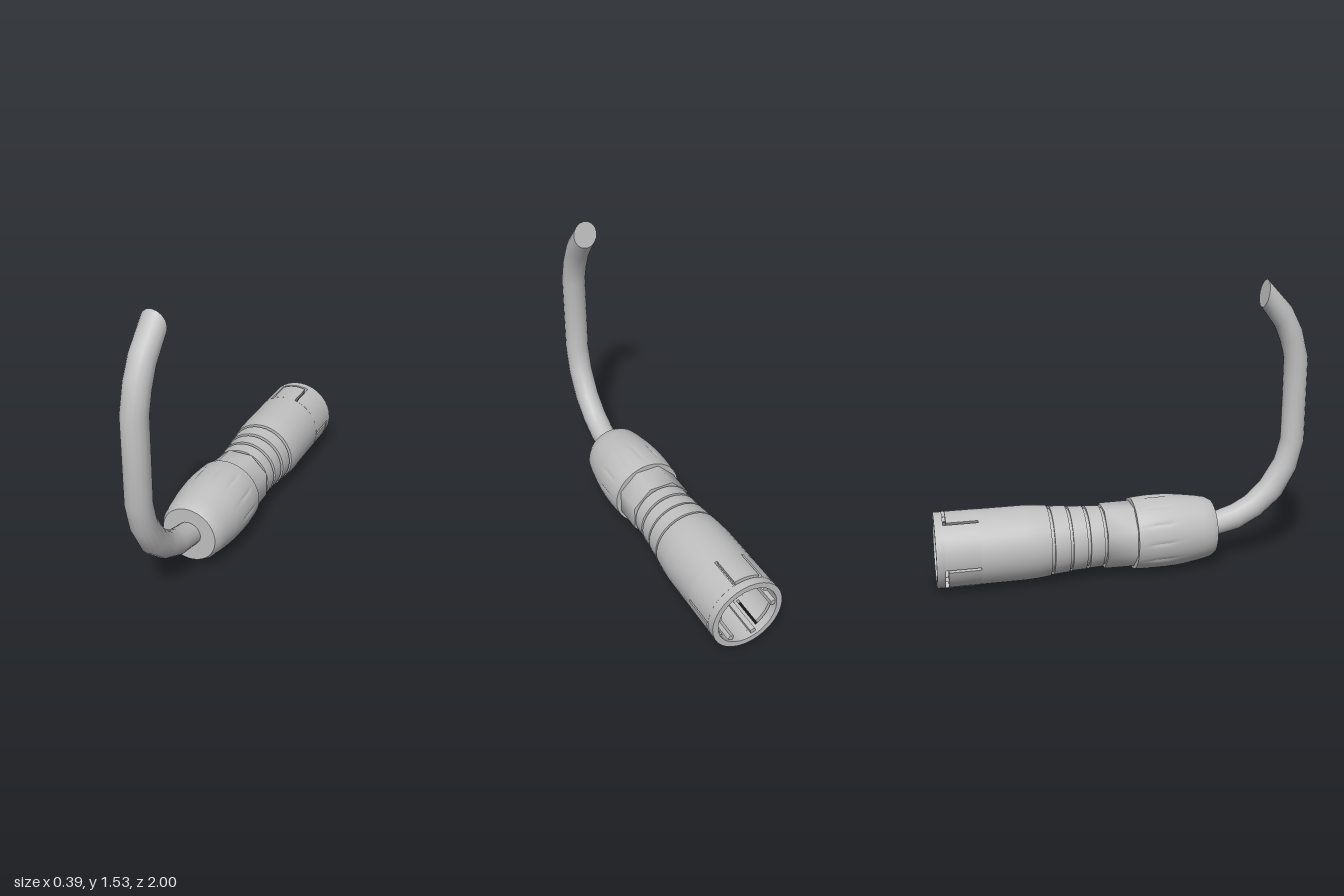
import * as THREE from 'three';
import { toCreasedNormals } from 'three/addons/utils/BufferGeometryUtils.js';

const AXIS_Y = 0.198;   // height of the connector's axis
const OUTER = 0.196, INNER = 0.165;

export function createModel() {
  const model = new THREE.Group();
  model.name = 'cableConnector';
  const grey = new THREE.MeshStandardMaterial({ color: 0xc0c0c0 });
  grey.name = 'lightGrey';

  const connector = new THREE.Group();
  connector.name = 'connector';
  connector.position.y = AXIS_Y;
  model.add(connector);

  const add = (parent, name, geometry, crease = 0.5) => {
    const mesh = new THREE.Mesh(toCreasedNormals(geometry, crease), grey);
    mesh.name = name;
    parent.add(mesh);
    return mesh;
  };

  // Solid of revolution about z; profile is [radius, z]
  const turned = (profile, sides) =>
    new THREE.LatheGeometry(profile.map(([r, z]) => new THREE.Vector2(r, z)), sides).rotateX(Math.PI / 2);

  // Curved wall between two angles and two z positions
  const wall = (a0, a1, z0, z1, rIn = INNER, rOut = OUTER) => {
    const shape = new THREE.Shape();
    shape.absarc(0, 0, rOut, a0, a1, false);
    shape.absarc(0, 0, rIn, a1, a0, true);
    shape.closePath();
    const curveSegments = Math.max(2, Math.ceil((a1 - a0) / 0.2));
    return new THREE.ExtrudeGeometry(shape, { depth: z1 - z0, bevelEnabled: false, curveSegments })
      .translate(0, 0, z0);
  };

  // Socket sleeve: three latch tongues, each cut free by a U-shaped slot
  const sleeve = new THREE.Group();
  sleeve.name = 'socketSleeve';
  connector.add(sleeve);
  add(sleeve, 'sleeveRim', turned([
    [INNER, -0.957], [INNER, -1], [OUTER, -1], [OUTER, -0.957], [INNER, -0.957],
  ], 32));
  const third = Math.PI * 2 / 3, half = 0.43, slit = 0.07;
  for (let i = 0; i < 3; i++) {
    const a = THREE.MathUtils.degToRad(96) + i * third;
    add(sleeve, 'sleeveWall', wall(a + half, a + third - half, -0.957, -0.78));
    add(sleeve, 'latchTongue', wall(a - half + slit, a + half - slit, -0.942, -0.78));
    // Guide ribs inside the socket, between the latches
    for (const offset of [0.62, third - 0.62])
      add(sleeve, 'guideRib', wall(a + offset - 0.09, a + offset + 0.09, -0.985, -0.63, 0.142, INNER + 0.005));
    // Contact pins
    const pin = add(sleeve, 'contactPin', new THREE.CylinderGeometry(0.016, 0.016, 0.2, 10).rotateX(Math.PI / 2));
    pin.position.set(0.075 * Math.cos(a), 0.075 * Math.sin(a), -0.72);
  }

  // Socket floor, tapered body and its grooved grip rings
  add(connector, 'gripBody', turned([
    [0, -0.64], [INNER, -0.64], [INNER, -0.78], [OUTER, -0.78], [OUTER, -0.54], [0.193, -0.48],
    [0.186, -0.418], [0.168, -0.418], [0.168, -0.402], [0.181, -0.402], [0.176, -0.32], [0.16, -0.32],
    [0.16, -0.305], [0.171, -0.305], [0.168, -0.23], [0.153, -0.23], [0.153, -0.213],
    [0.166, -0.213], [0.163, -0.14], [0.15, -0.14], [0.15, -0.12], [0, -0.12],
  ], 32));

  // Softly faceted neck with a flat on top
  const neck = new THREE.CylinderGeometry(0.176, 0.174, 0.18, 8, 1)
    .rotateY(Math.PI / 8).rotateX(Math.PI / 2).translate(0, 0, -0.035);
  add(connector, 'neckFlats', neck, 0.9);

  // Clamping nut with twelve fine flutes pressed into its surface
  const nut = turned([
    [0, 0.035], [0.19, 0.035], [0.194, 0.08], [0.197, 0.13], [0.197, 0.2], [0.194, 0.25],
    [0.188, 0.31], [0.174, 0.4], [0.164, 0.45], [0.148, 0.478], [0, 0.478],
  ], 96);
  const p = nut.attributes.position;
  for (let i = 0; i < p.count; i++) {
    const z = p.getZ(i), x = p.getX(i), y = p.getY(i);
    const step = Math.round(Math.atan2(y, x) / (Math.PI * 2) * 96);
    if (z > 0.1 && z < 0.22 && (step + 96) % 8 === 0) p.setXYZ(i, x * 0.975, y * 0.975, z);
  }
  add(connector, 'clampingNut', nut);

  // Cable: rings spanning the outer and inner edge of the bend, [outerZ, outerY, innerZ, innerY]
  const stations = [
    [0.4, 0.13, 0.4, 0.262], [0.48, 0.14, 0.48, 0.27], [0.637, 0.174, 0.6, 0.307],
    [0.76, 0.238, 0.68, 0.35], [0.882, 0.345, 0.76, 0.425], [0.963, 0.495, 0.84, 0.55],
    [1, 0.655, 0.872, 0.665], [1, 1.11, 0.872, 1.11], [0.957, 1.27, 0.85, 1.19],
    [0.893, 1.39, 0.813, 1.28], [0.76, 1.53, 0.733, 1.386],
  ];
  const sides = 16, verts = [], index = [];
  stations.forEach(([oz, oy, iz, iy], s) => {
    for (let k = 0; k < sides; k++) {
      const t = k / sides * Math.PI * 2, c = Math.cos(t) / 2;
      verts.push(0.067 * Math.sin(t), (oy + iy) / 2 + (oy - iy) * c, (oz + iz) / 2 + (oz - iz) * c);
      if (s === 0) continue;
      const n = (k + 1) % sides, a = (s - 1) * sides, b = s * sides;
      index.push(a + k, a + n, b + n, a + k, b + n, b + k);
    }
  });
  const last = (stations.length - 1) * sides;
  for (let k = 1; k < sides - 1; k++) index.push(last, last + k, last + k + 1); // cut end
  const cable = new THREE.BufferGeometry();
  cable.setAttribute('position', new THREE.Float32BufferAttribute(verts, 3));
  cable.setIndex(index);
  add(model, 'cable', cable, 0.6);

  return model;
}
